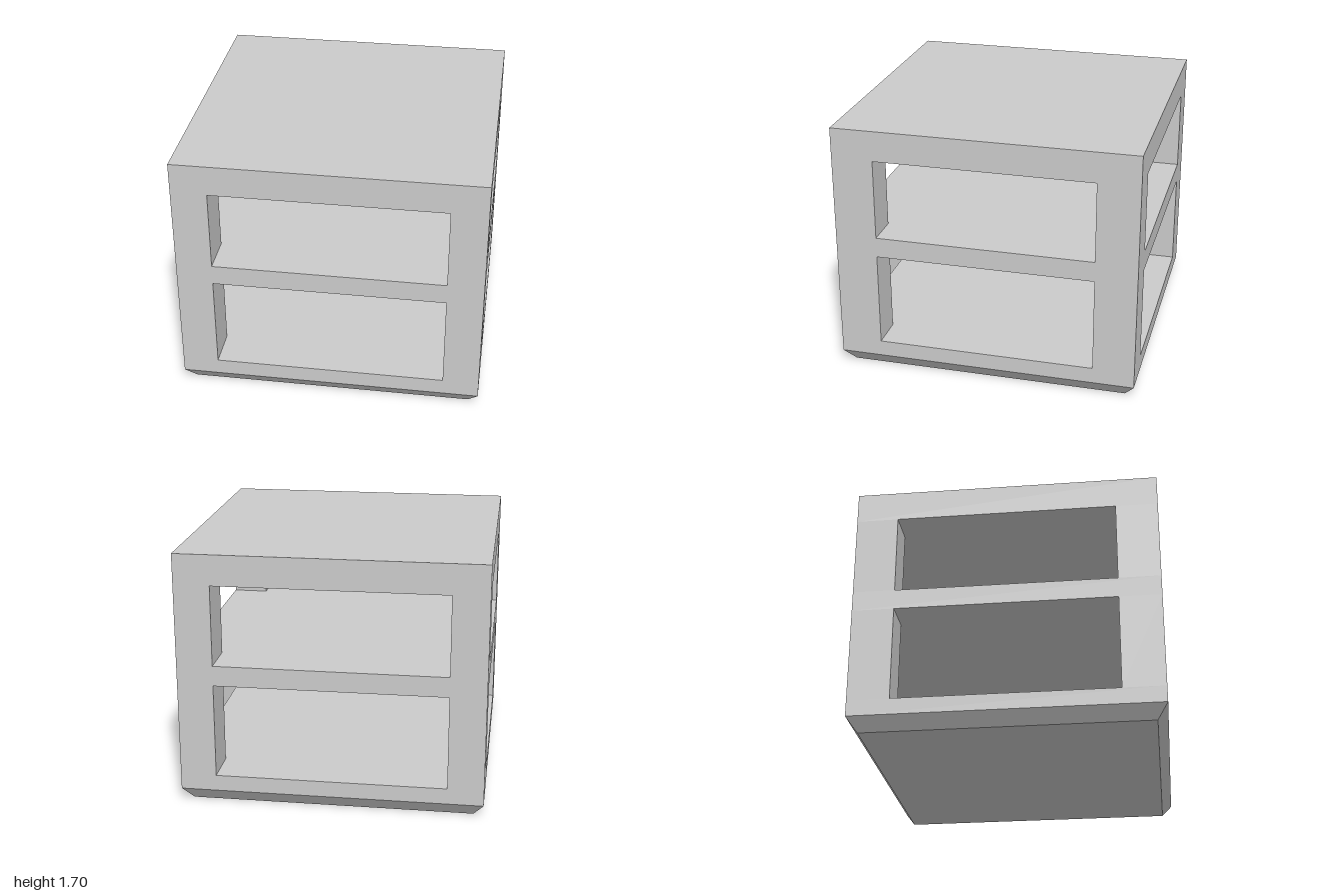
import * as THREE from 'three';

export function createModel() {
  const model = new THREE.Group();
  const material = new THREE.MeshStandardMaterial({ color: 0xcccccc, flatShading: true });

  const add = (name, geometry, x, y, z) => {
    const mesh = new THREE.Mesh(geometry, material);
    mesh.name = name;
    mesh.position.set(x, y, z);
    model.add(mesh);
  };

  // Full-width horizontal slabs: [name, bottom, top]
  const slabs = [
    ['floorSlab', 0.09, 0.197],
    ['middleShelf', 0.827, 0.962],
    ['topSlab', 1.497, 1.7],
  ];
  for (const [name, y0, y1] of slabs) {
    add(name, new THREE.BoxGeometry(2, y1 - y0, 2), 0, (y0 + y1) / 2, 0);
  }

  // Corner posts between each pair of slabs
  const postX = 0.238, postZ = 0.276;
  for (let i = 0; i < 2; i++) {
    const y0 = slabs[i][2], y1 = slabs[i + 1][1];
    for (const sx of [-1, 1]) {
      for (const sz of [-1, 1]) {
        add(i ? 'upperPost' : 'lowerPost', new THREE.BoxGeometry(postX, y1 - y0, postZ),
          sx * (1 - postX / 2), (y0 + y1) / 2, sz * (1 - postZ / 2));
      }
    }
  }

  // Tapered base: a square frustum narrowing to the ground
  const base = new THREE.CylinderGeometry(Math.SQRT2, 0.933 * Math.SQRT2, 0.09, 4);
  base.rotateY(Math.PI / 4);
  add('taperedBase', base, 0, 0.045, 0);

  return model;
}
